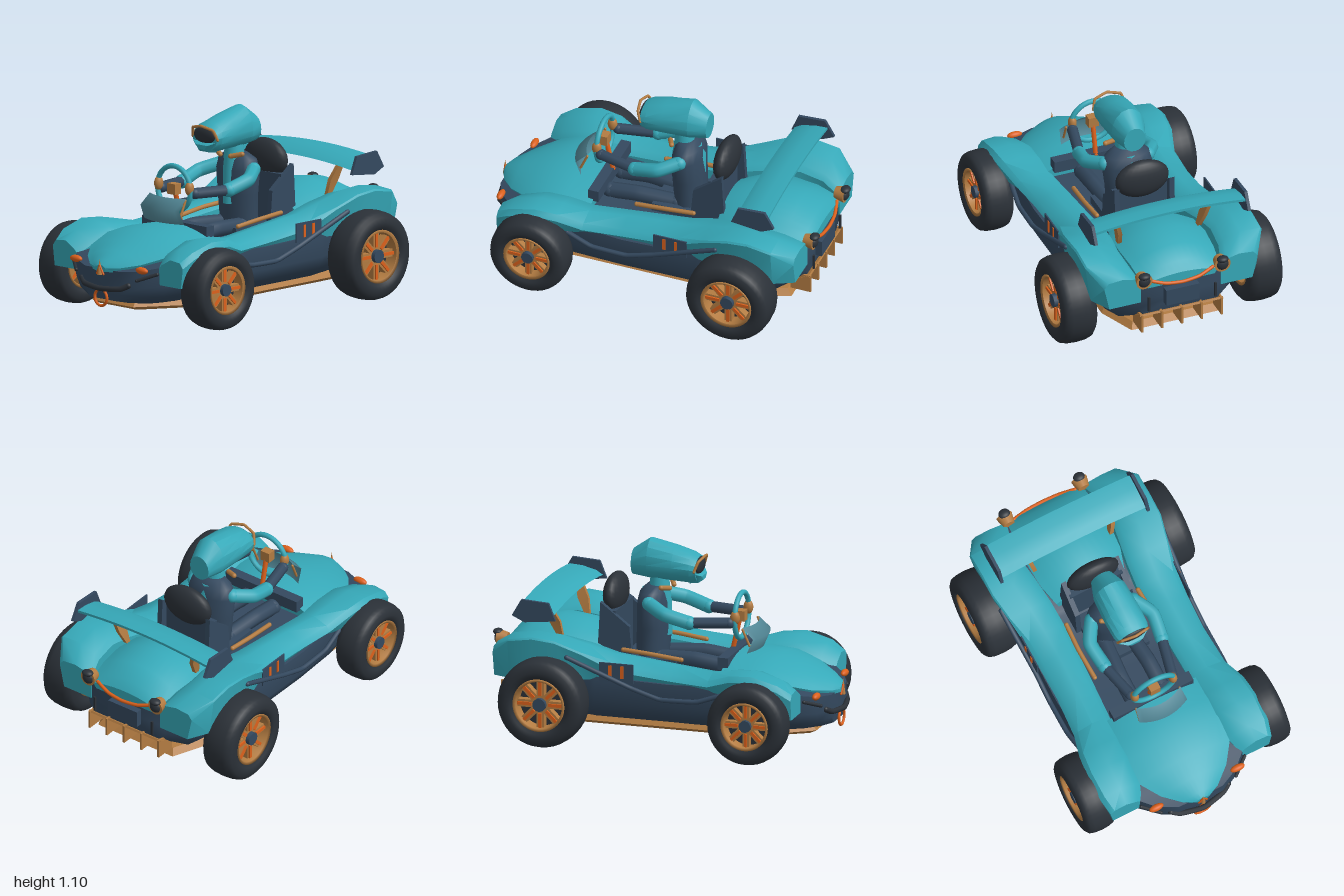
import * as THREE from 'three';
import { toCreasedNormals } from 'three/addons/utils/BufferGeometryUtils.js';

const mat = (name, color, extra = {}) => Object.assign(new THREE.MeshStandardMaterial({ color, ...extra }), { name });
const V = (x, y, z) => new THREE.Vector3(x, y, z);

export function createModel() {
  const kart = new THREE.Group();
  kart.name = 'buggy';
  const teal = mat('teal paint', 0x36a9b9), navy = mat('navy panel', 0x34495f), rubber = mat('black rubber', 0x2b3138);
  const copper = mat('copper', 0xb37c42), orange = mat('orange', 0xdc611c);
  const glass = mat('glass', 0x528796, { side: THREE.DoubleSide });

  const add = (name, geo, m, x = 0, y = 0, z = 0, parent = kart) => {
    const mesh = new THREE.Mesh(geo, m);
    mesh.name = name;
    mesh.position.set(x, y, z);
    parent.add(mesh);
    return mesh;
  };
  const box = (name, m, w, h, d, x, y, z, parent) => add(name, new THREE.BoxGeometry(w, h, d), m, x, y, z, parent);
  const ball = (name, m, rx, ry, rz, x, y, z) => {
    const b = add(name, new THREE.SphereGeometry(1, 20, 14), m, x, y, z);
    b.scale.set(rx, ry, rz);
    return b;
  };
  const tube = (name, m, pts, r, tension = 0.3) => {
    const c = new THREE.CatmullRomCurve3(pts.map(p => V(...p)), false, 'catmullrom', tension);
    add(name, new THREE.TubeGeometry(c, 32, r, 8), m);
    for (const p of [pts[0], pts[pts.length - 1]]) ball(name + 'End', m, r, r, r, ...p);
  };
  // Capped solid through rings of points; turned outward by its signed volume
  const loft = (rings, crease = 0.6) => {
    const n = rings[0].length, pos = [], idx = [];
    for (const r of rings) for (const p of r) pos.push(...p);
    for (let i = 0; i < rings.length - 1; i++) for (let j = 0; j < n; j++) {
      const a = i * n + j, b = i * n + (j + 1) % n;
      idx.push(a, b, a + n, b, b + n, a + n);
    }
    [0, rings.length - 1].forEach((i, end) => {
      const c = [0, 1, 2].map(k => rings[i].reduce((s, p) => s + p[k], 0) / n);
      const ci = pos.length / 3;
      pos.push(...c);
      for (let j = 0; j < n; j++) {
        const a = i * n + j, b = i * n + (j + 1) % n;
        idx.push(ci, end ? a : b, end ? b : a);
      }
    });
    const at = i => V(pos[3 * i], pos[3 * i + 1], pos[3 * i + 2]);
    let vol = 0;
    for (let i = 0; i < idx.length; i += 3) vol += at(idx[i]).dot(at(idx[i + 1]).cross(at(idx[i + 2])));
    if (vol < 0) idx.reverse();
    const g = new THREE.BufferGeometry();
    g.setAttribute('position', new THREE.Float32BufferAttribute(pos, 3));
    g.setIndex(idx);
    return toCreasedNormals(g, crease);
  };
  // Crowned panel: z, half width, edge height, centre height, bottom
  const crowned = list => loft(list.map(([z, w, ye, yc, yb]) => {
    const ring = [];
    for (let i = 0; i <= 12; i++) {
      const t = i / 6 - 1;
      ring.push([w * t, ye + (yc - ye) * (1 - t * t), z]);
    }
    return [...ring, [w * 0.9, yb, z], [-w * 0.9, yb, z]];
  }));

  // Lower hull: z, top half width, bottom half width, bottom, top
  add('lowerHull', loft([
    [-0.92, 0.27, 0.22, 0.26, 0.46], [-0.75, 0.41, 0.3, 0.16, 0.46], [-0.36, 0.47, 0.34, 0.14, 0.42],
    [-0.33, 0.47, 0.34, 0.14, 0.4], [0.1, 0.475, 0.34, 0.14, 0.39], [0.4, 0.46, 0.32, 0.13, 0.4],
    [0.65, 0.42, 0.27, 0.13, 0.4], [0.8, 0.36, 0.21, 0.13, 0.36], [0.9, 0.25, 0.15, 0.14, 0.33], [0.95, 0.14, 0.1, 0.15, 0.32],
  ].map(([z, wt, wb, y0, y1]) => {
    const ym = y0 + (y1 - y0) * 0.5, wl = wb + (wt - wb) * 0.72, yl = y0 + (ym - y0) * 0.45;
    return [[-wb, y0, z], [wb, y0, z], [wl, yl, z], [wt, ym, z], [wt * 0.98, y1, z],
      [-wt * 0.98, y1, z], [-wt, ym, z], [-wl, yl, z]];
  }), 1), navy);

  // Floor pan with bevelled rim
  const panEdge = [[0.16, 0.87], [0.35, 0.58], [0.35, -0.62], [0.26, -0.84]];
  const panRing = (k, y) => [...panEdge, ...panEdge.slice().reverse().map(([x, z]) => [-x, z])].map(([x, z]) => [x * k, y, z * (0.5 + k / 2)]);
  add('floorPan', loft([panRing(0.9, 0.09), panRing(1, 0.112), panRing(0.93, 0.148)], 0.3), copper);

  // Bonnet and rear deck
  add('bonnet', crowned([[0.35, 0.28, 0.44, 0.5, 0.38], [0.5, 0.32, 0.44, 0.505, 0.36], [0.62, 0.32, 0.43, 0.495, 0.36],
    [0.75, 0.285, 0.39, 0.455, 0.34], [0.86, 0.205, 0.355, 0.41, 0.32], [0.94, 0.11, 0.335, 0.37, 0.31], [0.97, 0.04, 0.33, 0.345, 0.31]]), teal);
  add('rearDeck', crowned([[-0.38, 0.215, 0.48, 0.55, 0.4], [-0.5, 0.25, 0.52, 0.6, 0.4], [-0.65, 0.26, 0.53, 0.62, 0.4],
    [-0.8, 0.25, 0.52, 0.6, 0.4], [-0.9, 0.24, 0.49, 0.55, 0.42], [-0.94, 0.22, 0.47, 0.5, 0.44]]), teal);

  // Fenders and sidepods: z, inner x, outer x, inner top, outer top, bottom
  const flank = [
    [0.83, 0.31, 0.505, 0.38, 0.4, 0.255], [0.75, 0.28, 0.525, 0.43, 0.45, 0.265], [0.6, 0.27, 0.53, 0.48, 0.49, 0.32],
    [0.47, 0.26, 0.515, 0.475, 0.48, 0.36], [0.33, 0.25, 0.475, 0.45, 0.43, 0.365], [0.1, 0.24, 0.46, 0.47, 0.44, 0.36],
    [-0.1, 0.235, 0.465, 0.49, 0.46, 0.37], [-0.25, 0.23, 0.475, 0.505, 0.49, 0.38], [-0.4, 0.24, 0.5, 0.55, 0.54, 0.38],
    [-0.55, 0.26, 0.53, 0.585, 0.6, 0.38], [-0.68, 0.28, 0.53, 0.595, 0.612, 0.37], [-0.82, 0.27, 0.53, 0.575, 0.59, 0.36], [-0.93, 0.24, 0.46, 0.52, 0.52, 0.35]];
  for (const s of [1, -1]) {
    add('fenderAndSidepod', loft(flank.map(([z, xi, xo, yi, yo, yb]) => {
      const edge = yo > 0.53 ? 0.008 : 0.024;
      return [[xi, yb], [xi, yi - 0.04], [xi + 0.03, yi - 0.01], [(xi + xo) / 2, Math.max(yi, yo) + 0.008],
        [xo - edge, yo], [xo, yo - edge * 1.3], [xo - (z > 0.7 ? 0.015 : 0.03), yb]].map(([x, y]) => [s * x, y, z]);
    }), 0.7), teal);
    tube('sideRail', navy, [[0.47, 0.36, 0.42], [0.485, 0.31, 0.27], [0.485, 0.305, 0.06], [0.485, 0.36, -0.12], [0.51, 0.51, -0.48]].map(([x, y, z]) => [s * x, y, z]), 0.014, 0.1);
    // Side panel with two plain stripes
    box('sidePanel', navy, 0.008, 0.11, 0.2, s * 0.479, 0.437, -0.2);
    for (const z of [-0.165, -0.235]) box('sidePanelStripe', orange, 0.004, 0.07, 0.018, s * 0.485, 0.443, z);
    tube('cockpitTrim', copper, [[s * 0.225, 0.47, 0.1], [s * 0.232, 0.49, -0.08], [s * 0.225, 0.5, -0.24]], 0.013);

    // Front lamps and whisker bars
    ball('frontLamp', orange, 0.044, 0.02, 0.02, s * 0.255, 0.337, 0.9);
    tube('lampBar', rubber, [[s * 0.235, 0.28, 0.92], [s * 0.325, 0.318, 0.85]], 0.01);
    // Tail lamps
    const shell = add('tailLamp', new THREE.CylinderGeometry(0.048, 0.034, 0.06, 18), copper, s * 0.235, 0.51, -0.94);
    shell.rotation.x = -Math.PI / 2;
    ball('tailLampLens', rubber, 0.036, 0.036, 0.025, s * 0.235, 0.51, -0.965);
    ball('tailLampHood', rubber, 0.034, 0.018, 0.028, s * 0.235, 0.545, -0.97);
    box('rearBracket', rubber, 0.012, 0.09, 0.012, s * 0.2, 0.34, -0.95);
  }

  // Nose: bumper, tow ring and mascot
  tube('bumper', rubber, [[-0.18, 0.245, 0.93], [-0.13, 0.222, 0.955], [0, 0.215, 0.98], [0.13, 0.222, 0.955], [0.18, 0.245, 0.93]], 0.016);
  add('towRing', new THREE.TorusGeometry(0.047, 0.008, 8, 24), orange, 0, 0.16, 0.965);
  add('noseSpike', new THREE.ConeGeometry(0.014, 0.09, 8), copper, 0, 0.335, 0.975);
  for (const s of [1, -1]) tube('noseProng', orange, [[0, 0.345, 0.975], [s * 0.025, 0.295, 0.97]], 0.006);

  // Tail: trim, plate box and diffuser
  tube('tailTrim', orange, [[-0.19, 0.485, -0.935], [-0.1, 0.46, -0.958], [0, 0.452, -0.965], [0.1, 0.46, -0.958], [0.19, 0.485, -0.935]], 0.01);
  box('tailBox', navy, 0.2, 0.1, 0.05, 0, 0.36, -0.935);
  box('diffuserPlate', copper, 0.5, 0.012, 0.27, 0, 0.205, -0.82).rotation.x = 0.47;
  for (let i = -2; i <= 2; i++) box('diffuserFin', copper, 0.012, 0.11, 0.12, i * 0.12, 0.215, -0.89);

  // Rear wing
  const wing = [];
  for (let i = 0; i <= 12; i++) {
    const x = -0.455 + i * 0.91 / 12, y = 0.72 + 0.03 * (1 - (x / 0.455) ** 2);
    wing.push([[x, y, -0.58], [x, y + 0.025, -0.62], [x, y + 0.045, -0.7], [x, y + 0.05, -0.775], [x, y + 0.035, -0.775], [x, y + 0.012, -0.68]]);
  }
  add('rearWing', loft(wing), teal);
  const plate = new THREE.Shape([[-0.56, 0.7], [-0.6, 0.8], [-0.76, 0.81], [-0.815, 0.715], [-0.74, 0.68]].map(([z, y]) => new THREE.Vector2(-z, y)));
  for (const s of [1, -1]) {
    add('wingEndPlate', new THREE.ExtrudeGeometry(plate, { depth: 0.018, bevelEnabled: false }), navy, s * 0.46 - 0.009).rotation.y = Math.PI / 2;
    add('wingStrut', loft([[0.24, 0.55, -0.6, 0.015], [0.255, 0.64, -0.63, 0.032], [0.285, 0.75, -0.67, 0.015]].map(([x, y, z, w]) =>
      [[x - 0.012, y, z - w], [x + 0.012, y, z - w], [x + 0.012, y, z + w], [x - 0.012, y, z + w]].map(p => [s * p[0], p[1], p[2]]))), copper);
  }

  // Wheels: spokes on both faces around a dark web
  const wheel = (x, R, z, w) => {
    const g = new THREE.Group(), h = w / 2, r = R * 0.58;
    g.name = 'wheel';
    const lathe = (name, pts, m) => add(name, new THREE.LatheGeometry(pts.map(p => new THREE.Vector2(...p)), 40), m, 0, 0, 0, g);
    lathe('tyre', [[r, -h * 0.8], [r + 0.02, -h * 0.95], [R * 0.75, -h], [R * 0.87, -h * 0.94], [R * 0.95, -h * 0.78], [R * 0.985, -h * 0.5], [R, 0],
      [R * 0.985, h * 0.5], [R * 0.95, h * 0.78], [R * 0.87, h * 0.94], [R * 0.75, h], [r + 0.02, h * 0.95], [r, h * 0.8], [r, -h * 0.8]], rubber);
    lathe('rim', [[r - 0.012, -h * 0.82], [r + 0.004, -h * 0.88], [r + 0.004, h * 0.88], [r - 0.012, h * 0.82], [r - 0.016, h * 0.2], [r - 0.016, -h * 0.2], [r - 0.012, -h * 0.82]], copper);
    add('wheelWeb', new THREE.CylinderGeometry(r, r, 0.03, 32), rubber, 0, 0, 0, g);
    add('hub', new THREE.CylinderGeometry(R * 0.15, R * 0.15, w * 0.8, 12), navy, 0, 0, 0, g);
    for (let i = 0; i < 8; i++) {
      const arm = new THREE.Group();
      arm.name = 'spoke';
      arm.rotation.y = i * Math.PI / 4;
      box('spokeBlade', copper, r - 0.015, w * 0.56, R * 0.17, r / 2, 0, 0, arm);
      box('spokeRidge', orange, r * 0.6, w * 0.64, R * 0.07, r * 0.64, 0, 0, arm);
      g.add(arm);
    }
    g.position.set(x, R + 0.003, z);
    g.rotation.z = Math.PI / 2;
    kart.add(g);
  };
  for (const s of [1, -1]) {
    wheel(s * 0.552, 0.231, 0.6, 0.185);
    wheel(s * 0.557, 0.254, -0.6, 0.21);
  }
  tube('frontAxle', rubber, [[-0.5, 0.234, 0.6], [0.5, 0.234, 0.6]], 0.012);
  tube('rearAxle', rubber, [[-0.5, 0.257, -0.6], [0.5, 0.257, -0.6]], 0.012);

  // Windscreen: curved sheet folded towards the top
  const screen = new THREE.PlaneGeometry(1, 1, 12, 2), sp = screen.attributes.position;
  const rows = [[0.66, 0.47, 0.14], [0.6, 0.535, 0.15], [0.52, 0.5, 0.155]];
  for (let i = 0; i < sp.count; i++) {
    const t = sp.getX(i) * 2, [y, z, w] = rows[Math.floor(i / 13)];
    sp.setXYZ(i, t * w, y, z - 0.04 * t * t);
  }
  screen.computeVertexNormals();
  add('windscreen', screen, glass);
  for (const s of [1, -1]) tube('screenPost', copper, [[s * 0.135, 0.56, 0.47], [s * 0.137, 0.65, 0.43]], 0.007);

  // Dashboard, steering and seat
  box('dashboard', navy, 0.5, 0.07, 0.06, 0, 0.475, 0.35);
  add('steeringWheel', new THREE.TorusGeometry(0.128, 0.015, 10, 32), teal, 0, 0.695, 0.38);
  box('steeringHub', copper, 0.06, 0.06, 0.05, 0, 0.695, 0.38);
  tube('steeringColumn', orange, [[0, 0.68, 0.37], [0, 0.5, 0.33]], 0.014);
  const bolster = new THREE.Shape([[0.2, 0.4], [0.22, 0.62], [0.39, 0.75], [0.41, 0.4]].map(p => new THREE.Vector2(...p)));
  for (const s of [1, -1]) add('seatBolster', new THREE.ExtrudeGeometry(bolster, { depth: 0.03, bevelEnabled: false }), navy, s * 0.165 - 0.015).rotation.y = Math.PI / 2;
  box('seatBack', navy, 0.33, 0.3, 0.05, 0, 0.55, -0.33);
  box('seatBase', navy, 0.3, 0.06, 0.32, 0, 0.41, -0.12);
  ball('headrest', rubber, 0.16, 0.115, 0.06, 0, 0.765, -0.355);

  // Driver body: y, half width, half depth, z
  const oval = (y, a, b, z) => Array.from({ length: 16 }, (_, i) => {
    const t = i * Math.PI / 8;
    return [a * Math.cos(t), y, z + b * Math.sin(t)];
  });
  add('torso', loft([oval(0.42, 0.12, 0.09, -0.14), oval(0.6, 0.13, 0.095, -0.13), oval(0.74, 0.15, 0.09, -0.13), oval(0.8, 0.13, 0.075, -0.13), oval(0.835, 0.07, 0.05, -0.12)], 0.9), navy);
  add('chestPanel', loft([oval(0.55, 0.06, 0.1, -0.125), oval(0.74, 0.07, 0.097, -0.127), oval(0.81, 0.06, 0.08, -0.12)], 0.9), teal);
  add('neck', new THREE.CylinderGeometry(0.05, 0.06, 0.1, 16), teal, 0, 0.85, -0.1);
  for (const s of [1, -1]) {
    tube('collar', copper, [[s * 0.04, 0.825, -0.03], [s * 0.1, 0.84, -0.06]], 0.014);
    tube('upperArm', teal, [[s * 0.13, 0.75, -0.12], [s * 0.195, 0.715, -0.01], [s * 0.18, 0.675, 0.13]], 0.04);
    tube('forearm', navy, [[s * 0.18, 0.675, 0.13], [s * 0.13, 0.68, 0.35]], 0.031);
    ball('hand', copper, 0.024, 0.04, 0.028, s * 0.12, 0.71, 0.38);
    tube('leg', navy, [[s * 0.07, 0.43, -0.08], [s * 0.09, 0.44, 0.14], [s * 0.09, 0.42, 0.31]], 0.045);
  }

  // Helmet: z, half width, bottom, widest height, top
  add('helmet', loft([[-0.25, 0.065, 0.88, 0.95, 1.03], [-0.15, 0.1, 0.87, 0.96, 1.1], [0, 0.109, 0.865, 0.96, 1.065],
    [0.1, 0.105, 0.86, 0.955, 1.035], [0.135, 0.095, 0.87, 0.95, 1.015]].map(([z, w, y0, ym, y1]) =>
    Array.from({ length: 16 }, (_, i) => {
      const c = Math.cos(i * Math.PI / 8), n = Math.sin(i * Math.PI / 8);
      return [w * c, ym + n * (n > 0 ? y1 - ym : ym - y0), z];
    })), 0.45), teal);
  add('chinGuard', loft([[0.09, 0.095, 0.865, 0.93], [0.14, 0.08, 0.87, 0.925], [0.162, 0.045, 0.885, 0.91]].map(([z, w, y0, y1]) =>
    [[-w, y1, z], [-w * 0.5, y0, z], [w * 0.5, y0, z], [w, y1, z]])), teal);
  ball('visor', rubber, 0.082, 0.047, 0.022, 0, 0.963, 0.135);
  tube('visorFrame', copper, [[-0.095, 0.945, 0.13], [-0.078, 1.0, 0.15], [0, 1.018, 0.165], [0.078, 1.0, 0.15], [0.095, 0.945, 0.13]], 0.008, 0.1);

  return kart;
}
